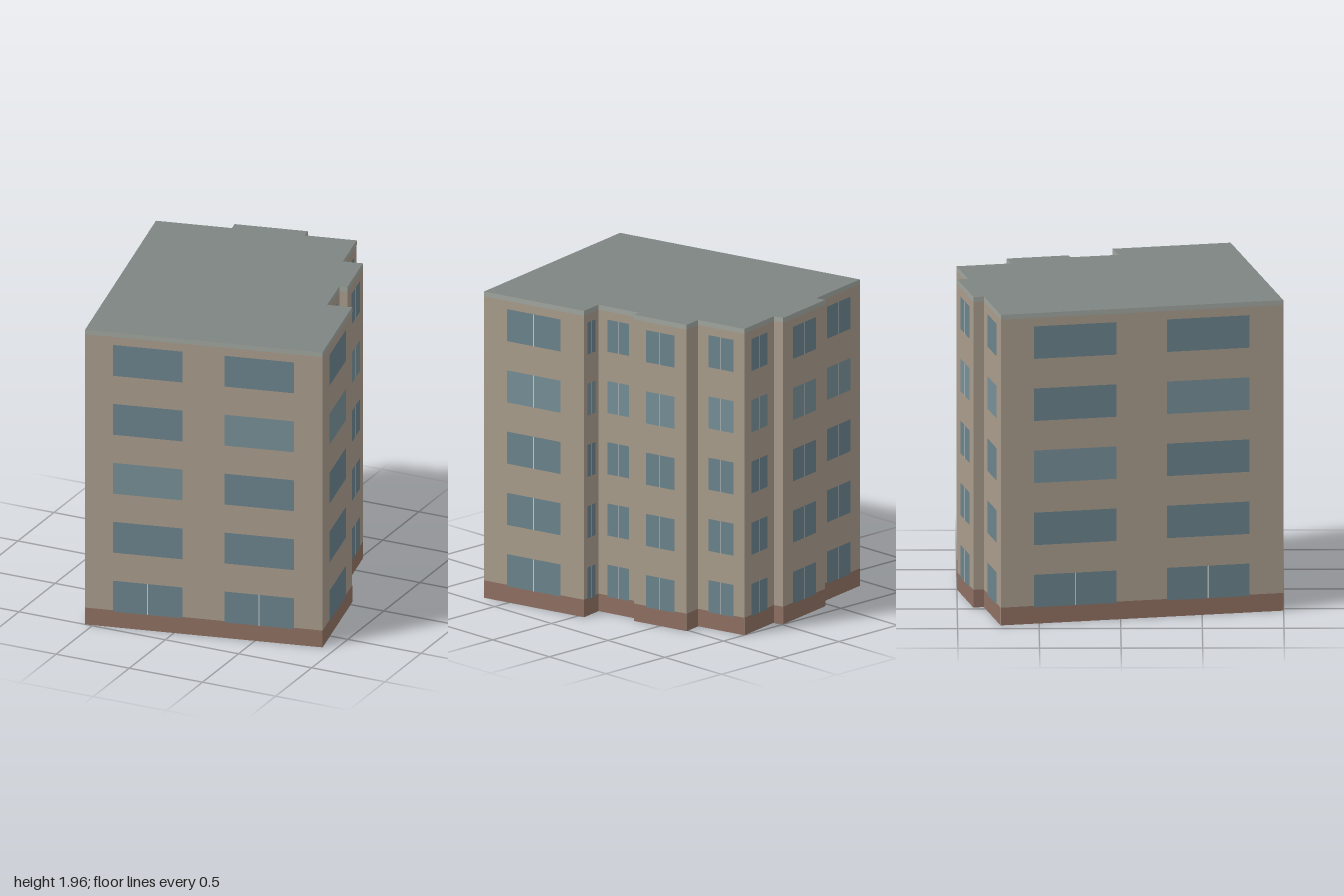
import * as THREE from 'three';
import { mergeGeometries } from 'three/addons/utils/BufferGeometryUtils.js';

const HEIGHT = 1.96;
const BASE_TOP = 0.112;
const CORNICE_BOTTOM = 1.93;
const FLOORS = 5;
const FLOOR_STEP = 0.392;
const SILL = 0.104;
const WINDOW_HEIGHT = 0.205;

// Footprint corners [x, z], so that each wall runs left to right seen from outside
const FOOTPRINT = [
  [-0.549, 0.998], [0.916, 0.681], [0.763, -0.042], [0.608, -0.009],
  [0.548, -0.301], [0.597, -0.312], [0.516, -0.692], [0.393, -0.666],
  [0.322, -1.0], [0.003, -0.932], [-0.012, -0.997], [-0.463, -0.9],
  [-0.45, -0.836], [-0.919, -0.735],
];

// Window layout as fractions of the wall length
const TWO_BAYS = [[0.118, 0.41], [0.588, 0.88]];
const ONE_BAY = [[0.23, 0.77]];
const BAYS = {
  0: TWO_BAYS, 13: TWO_BAYS,
  1: ONE_BAY, 2: ONE_BAY, 3: ONE_BAY, 5: ONE_BAY,
  7: ONE_BAY, 8: ONE_BAY, 10: ONE_BAY, 12: ONE_BAY,
};

export function createModel() {
  const model = new THREE.Group();
  model.name = 'apartmentBlock';

  const parts = {
    walls: { color: 0xa99c8c, list: [], side: THREE.DoubleSide },
    baseBand: { color: 0x8f7062, list: [] },
    cornice: { color: 0xa0a6a0, list: [] },
    windows: { color: 0x6b838c, list: [] },
    lightWindows: { color: 0x768f97, list: [] },
    mullions: { color: 0xc4c8c4, list: [] },
  };

  FOOTPRINT.forEach(([x, z], i) => {
    const [nx, nz] = FOOTPRINT[(i + 1) % FOOTPRINT.length];
    const length = Math.hypot(nx - x, nz - z);
    const angle = Math.atan2(z - nz, nx - x);

    // Flat panel on this wall: u is a fraction of its length, y is height
    const panel = (part, u0, u1, y0, y1, offset = 0) => {
      const geometry = new THREE.PlaneGeometry((u1 - u0) * length, y1 - y0);
      geometry.translate(((u0 + u1) / 2) * length, (y0 + y1) / 2, offset);
      geometry.rotateY(angle).translate(x, 0, z);
      parts[part].list.push(geometry);
    };

    panel('walls', 0, 1, 0, HEIGHT);
    panel('baseBand', 0, 1, 0, BASE_TOP, 0.0015);
    panel('cornice', 0, 1, CORNICE_BOTTOM, HEIGHT, 0.0015);

    // Windows on every floor; wide paired windows are divided on the ground floor only
    const bays = BAYS[i] ?? [];
    const paired = bays === TWO_BAYS;
    bays.forEach(([u0, u1], bay) => {
      for (let floor = 0; floor < FLOORS; floor++) {
        const y0 = SILL + floor * FLOOR_STEP;
        const y1 = y0 + WINDOW_HEIGHT;
        const light = paired ? floor === 2 + bay : floor === 3;
        panel(light ? 'lightWindows' : 'windows', u0, u1, y0, y1, 0.003);
        if (!paired || floor === 0) {
          const mid = (u0 + u1) / 2;
          const half = paired ? 0.0025 : 0.005;
          panel('mullions', mid - half, mid + half, y0, y1, 0.0045);
        }
      }
    });
  });

  for (const [name, { color, list, side = THREE.FrontSide }] of Object.entries(parts)) {
    const mesh = new THREE.Mesh(
      mergeGeometries(list),
      new THREE.MeshStandardMaterial({ color, side }),
    );
    mesh.name = name;
    model.add(mesh);
  }

  // Flat roof; the underside of the building stays open
  const outline = new THREE.Shape(FOOTPRINT.map(([x, z]) => new THREE.Vector2(x, -z)));
  const roof = new THREE.Mesh(
    new THREE.ShapeGeometry(outline).rotateX(-Math.PI / 2).translate(0, HEIGHT, 0),
    new THREE.MeshStandardMaterial({ color: 0x7d8582, side: THREE.DoubleSide }),
  );
  roof.name = 'roof';
  model.add(roof);

  return model;
}
